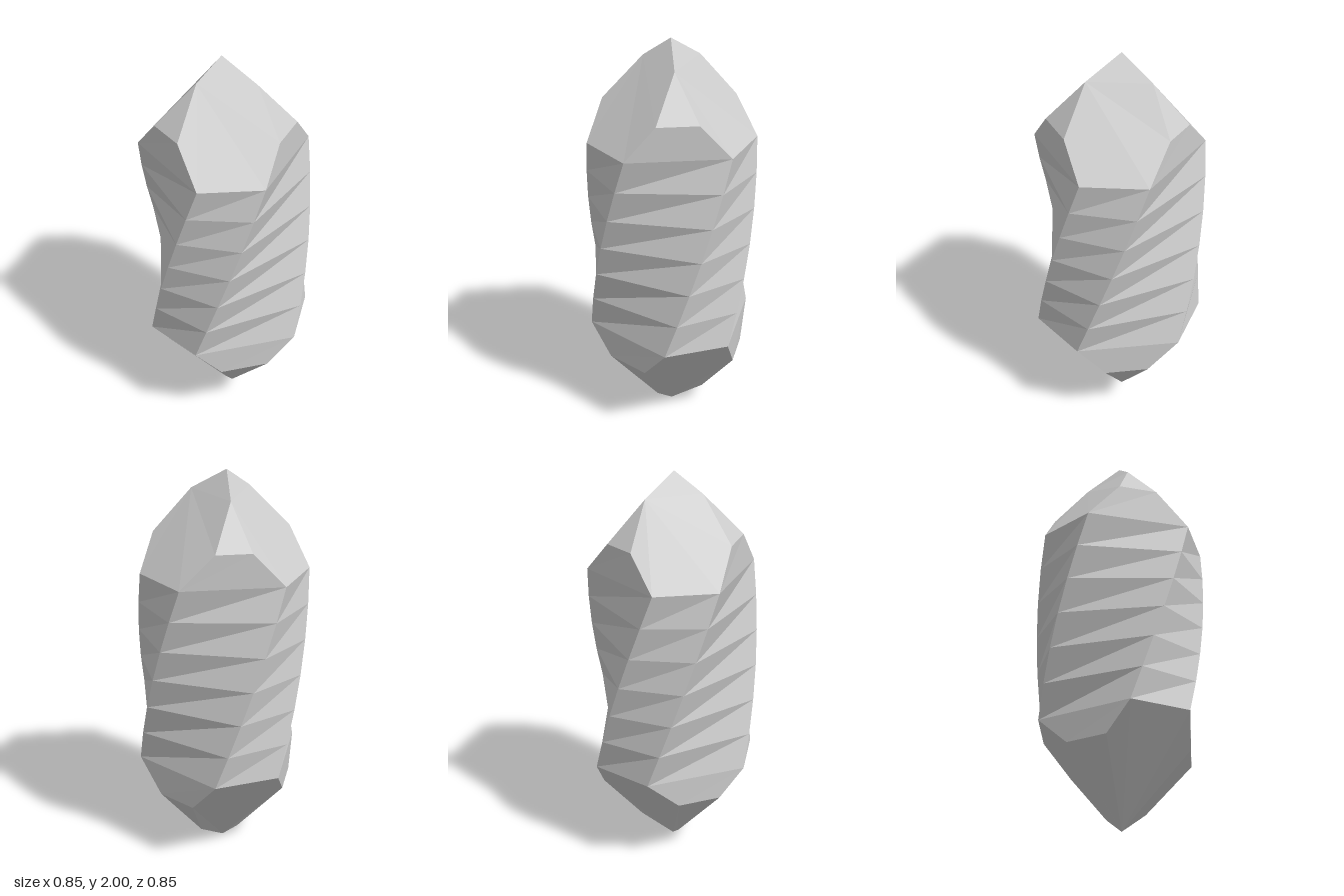
import * as THREE from 'three';

const BOTTOM_Y = 0.51, TOP_Y = 1.51, ROWS = 6;

// Prism corners [x, z] at each end, joined one to one by the twisted edges
const topRing = [[0.30, 0.29], [0.01, 0.42], [-0.41, 0.115], [-0.375, -0.2], [0.085, -0.41], [0.35, -0.22]];
const bottomRing = [[-0.01, 0.42], [-0.30, 0.29], [-0.36, -0.225], [-0.095, -0.425], [0.375, -0.21], [0.415, 0.12]];

// Small facet above or below each wide side: two shoulder corners and a tip
const topFacets = [
  [[-0.12, 1.69, 0.32], [-0.28, 1.69, 0.21], [-0.10, 1.90, 0.12]],
  [[-0.23, 1.68, -0.265], [-0.07, 1.68, -0.34], [-0.09, 1.89, -0.16]],
  [[0.335, 1.68, -0.065], [0.315, 1.68, 0.14], [0.165, 1.89, 0.02]],
];
const bottomFacets = [
  [[-0.315, 0.365, 0.16], [-0.34, 0.365, -0.06], [-0.08, 0.06, 0.01]],
  [[0.045, 0.345, -0.36], [0.245, 0.345, -0.27], [0.07, 0.10, -0.15]],
  [[0.30, 0.36, 0.20], [0.10, 0.36, 0.34], [0.07, 0.08, 0.09]],
];

// Flat-faced geometry from polygons, each cut into a fan of triangles
function facetGeometry(polygons) {
  const positions = [];
  for (const p of polygons) {
    for (let i = 1; i < p.length - 1; i++) positions.push(...p[0], ...p[i], ...p[i + 1]);
  }
  const geometry = new THREE.BufferGeometry();
  geometry.setAttribute('position', new THREE.Float32BufferAttribute(positions, 3));
  geometry.computeVertexNormals();
  return geometry;
}

// Cross-section of the prism at t = 0 (bottom) to 1 (top), turning with height
function section(t) {
  const y = THREE.MathUtils.lerp(BOTTOM_Y, TOP_Y, t);
  return bottomRing.map(([bx, bz], i) => {
    const [tx, tz] = topRing[i];
    const start = Math.atan2(bz, bx);
    let turn = Math.atan2(tz, tx) - start;
    turn = Math.atan2(Math.sin(turn), Math.cos(turn));
    const angle = start + turn * t;
    const radius = THREE.MathUtils.lerp(Math.hypot(bx, bz), Math.hypot(tx, tz), t);
    return [radius * Math.cos(angle), y, radius * Math.sin(angle)];
  });
}

function twistedPrism() {
  const polygons = [];
  for (let r = 0; r < ROWS; r++) {
    const low = section(r / ROWS), high = section((r + 1) / ROWS);
    for (let i = 0; i < 6; i++) {
      const n = (i + 1) % 6;
      polygons.push([high[n], low[n], high[i]], [high[i], low[n], low[i]]);
    }
  }
  return facetGeometry(polygons);
}

// Three large faces meeting at the apex, with a shoulder and small facet between
function point(ring, facets, apex, isTop) {
  const polygons = [];
  for (let j = 0; j < 3; j++) {
    const [a, b, tip] = facets[j];
    const [, prevB, prevTip] = facets[(j + 2) % 3];
    const v0 = ring[2 * j], v1 = ring[2 * j + 1], v2 = ring[(2 * j + 2) % 6];
    polygons.push([apex, prevTip, prevB, v0, v1, a, tip], [v1, v2, b, a], [a, b, tip]);
  }
  if (isTop) polygons.forEach((p) => p.reverse());
  return facetGeometry(polygons);
}

export function createModel() {
  const crystal = new THREE.MeshStandardMaterial({ color: 0xcccccc });
  crystal.name = 'crystal grey';
  crystal.flatShading = true;

  const group = new THREE.Group();
  group.name = 'twistedCrystal';
  const add = (name, geometry) => {
    const mesh = new THREE.Mesh(geometry, crystal);
    mesh.name = name;
    group.add(mesh);
  };
  add('twistedBody', twistedPrism());
  add('upperPoint', point(section(1), topFacets, [-0.02, 2, 0], true));
  add('lowerPoint', point(section(0), bottomFacets, [0, 0, 0], false));
  return group;
}
